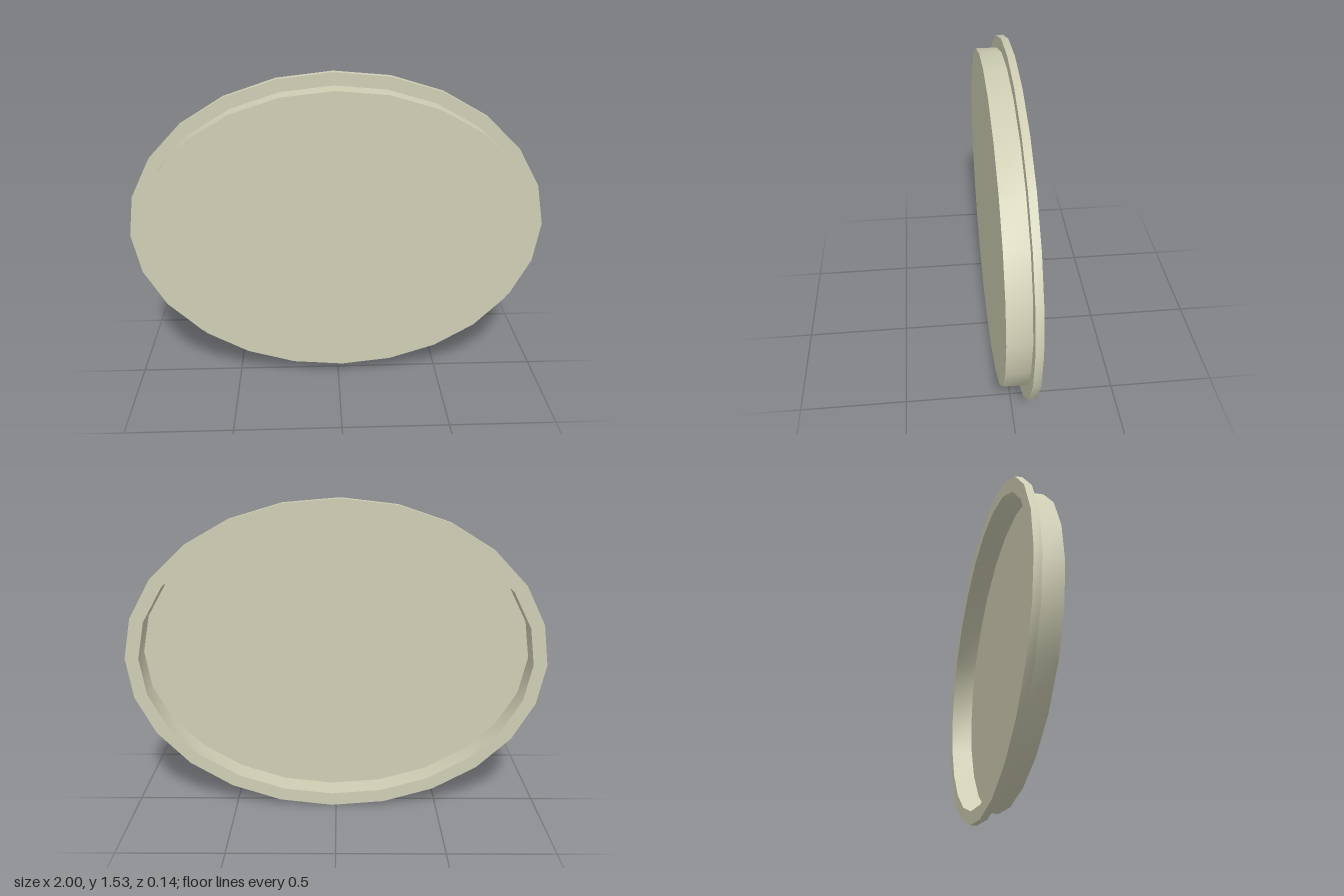
import * as THREE from 'three';
import { toCreasedNormals } from 'three/addons/utils/BufferGeometryUtils.js';

const SIDES = 24;
const PHASE = 0.02;      // slight turn of the facets
const HALF_HEIGHT = 0.765;
const FRONT = 0.068, BACK = -0.068, STEP = -0.035, FLOOR = 0.045;

// Sweeps a (half width, z) profile round an oval with an even inset on all sides
function oval(name, profile, material) {
  const points = profile.map(([r, z]) => new THREE.Vector2(r, z));
  const lathe = new THREE.LatheGeometry(points, SIDES, PHASE);
  lathe.rotateX(Math.PI / 2);
  const pos = lathe.attributes.position;
  for (let i = 0; i < pos.count; i++) {
    const x = pos.getX(i), y = pos.getY(i);
    const r = Math.hypot(x, y);
    const ry = Math.max(r - (1 - HALF_HEIGHT), 0);
    pos.setY(i, HALF_HEIGHT + (r > 1e-6 ? (y / r) * ry : 0));
  }
  const mesh = new THREE.Mesh(toCreasedNormals(lathe, Math.PI / 5), material);
  mesh.name = name;
  return mesh;
}

export function createModel() {
  const group = new THREE.Group();
  group.name = 'ovalDish';
  const material = new THREE.MeshStandardMaterial({ color: 0xcfceb4, side: THREE.DoubleSide });

  // Shallow pan: recessed floor and inner wall open to the back
  group.add(oval('panInside', [[0, FLOOR], [0.935, FLOOR], [0.935, BACK]], material));
  // Thin flange round the open edge
  group.add(oval('rim', [[0.935, BACK], [1, BACK], [1, STEP], [0.94, STEP]], material));
  // Outer wall and flat front
  group.add(oval('panOutside', [[0.94, STEP], [0.94, FRONT], [0, FRONT]], material));
  return group;
}
